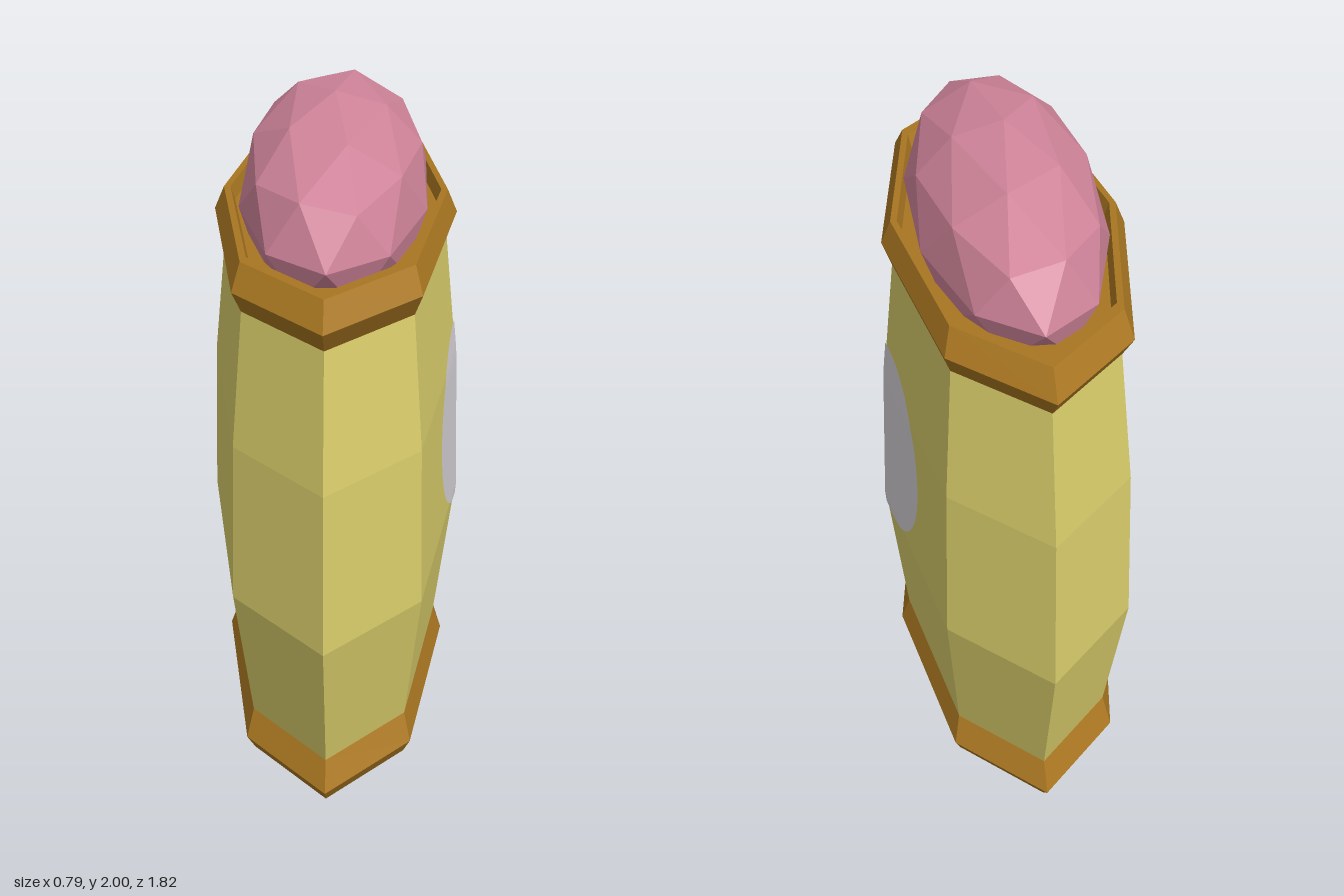
import * as THREE from 'three';

const WIDTH = 0.432; // squash of the octagonal section across x
// half depth of the body at each height
const BODY = [[0.775, 0.15], [0.91, 0.66], [0.87, 1.16], [0.775, 1.56]];

function material(name, color) {
  const m = new THREE.MeshStandardMaterial({ color, flatShading: true });
  m.name = name;
  return m;
}

// Eight-sided turned shape, flattened along x
function octagonal(name, profile, mat) {
  const points = profile.map(([r, y]) => new THREE.Vector2(r, y));
  const geo = new THREE.LatheGeometry(points, 8);
  geo.scale(WIDTH, 1, 1);
  const mesh = new THREE.Mesh(geo, mat);
  mesh.name = name;
  return mesh;
}

// x of the body's left side at a given height and depth
function sideX(y, z) {
  let i = 0;
  while (i < BODY.length - 2 && y > BODY[i + 1][1]) i++;
  const [r0, y0] = BODY[i], [r1, y1] = BODY[i + 1];
  const r = r0 + (r1 - r0) * (y - y0) / (y1 - y0);
  return WIDTH * (r - Math.abs(z) * Math.tan(Math.PI / 8));
}

// Thin round patch that follows the folded side of the body
function sidePatch(mat) {
  const geo = new THREE.PlaneGeometry(2, 2, 32, 16);
  const pos = geo.attributes.position;
  const radius = 0.322, cy = 0.95, cz = -0.035;
  for (let i = 0; i < pos.count; i++) {
    let z = cz - radius * Math.sin(pos.getX(i) * Math.PI / 2);
    if (Math.abs(z) < 0.015) z = 0; // keep a column on the fold
    const half = Math.sqrt(Math.max(0, radius * radius - (z - cz) ** 2));
    const y = cy + half * pos.getY(i);
    pos.setXYZ(i, sideX(y, z) + 0.004, y, z);
  }
  geo.computeVertexNormals();
  const mesh = new THREE.Mesh(geo, mat);
  mesh.name = 'sidePatch';
  return mesh;
}

// Faceted dome: icosphere with a corner pointing up, stretched
function dome(mat) {
  const geo = new THREE.IcosahedronGeometry(1, 1);
  geo.rotateX(-Math.atan2((1 + Math.sqrt(5)) / 2, 1));
  geo.rotateY(Math.PI / 2);
  geo.scale(0.285, 0.28, 0.67);
  geo.translate(0, 1.72, 0);
  const mesh = new THREE.Mesh(geo, mat);
  mesh.name = 'dome';
  return mesh;
}

export function createModel() {
  const yellow = material('yellow', 0xd8cc6a);
  const brown = material('brown', 0xa87621);
  const pink = material('pink', 0xd0849a);
  const grey = material('pale grey', 0xd6d2d8);

  const group = new THREE.Group();
  group.name = 'jar';
  group.add(
    octagonal('body', BODY, yellow),
    octagonal('baseBand', [[0, 0], [0.775, 0], [0.84, 0.08], [0.775, 0.16], [0, 0.16]], brown),
    // upper band with a shallow seat for the dome
    octagonal('topBand', [[0, 1.55], [0.775, 1.55], [0.843, 1.63], [0.775, 1.7],
      [0.73, 1.7], [0.7, 1.66], [0, 1.66]], brown),
    dome(pink),
    sidePatch(grey),
  );
  return group;
}
